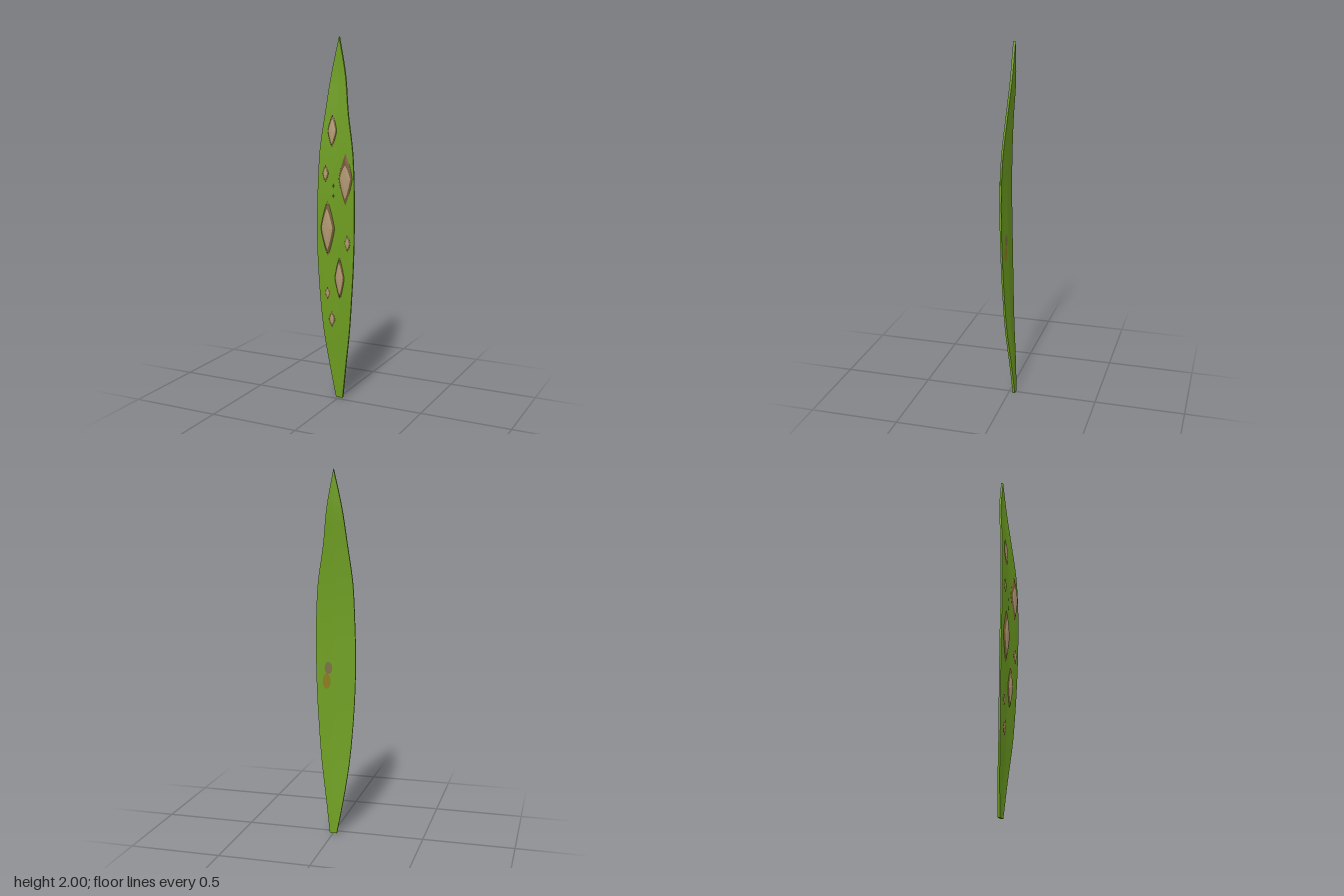
import * as THREE from 'three';

const mat = (name, color) => new THREE.MeshStandardMaterial({ name, color });

// Knots every 0.2 in height: left edge, right edge, front depth of the midrib
const LEFT = [-0.02, -0.055, -0.083, -0.1, -0.11, -0.112, -0.106, -0.096, -0.07, -0.043, 0];
const RIGHT = [0.02, 0.046, 0.074, 0.092, 0.105, 0.111, 0.11, 0.098, 0.065, 0.04, 0];
const DEPTH = [-0.024, -0.012, 0.002, 0.011, 0.017, 0.021, 0.022, 0.017, 0.004, -0.013, -0.018];
const THICK = 0.013;

// Smooth interpolation through the knots
function sample(knots, y) {
  const t = THREE.MathUtils.clamp(y / 0.2, 0, knots.length - 1);
  const i = Math.min(Math.floor(t), knots.length - 2), f = t - i;
  const a = knots[i], b = knots[i + 1];
  const m0 = i > 0 ? (b - knots[i - 1]) / 2 : b - a;
  const m1 = i + 2 < knots.length ? (knots[i + 2] - a) / 2 : b - a;
  const f2 = f * f, f3 = f2 * f;
  return (2 * f3 - 3 * f2 + 1) * a + (f3 - 2 * f2 + f) * m0 + (3 * f2 - 2 * f3) * b + (f3 - f2) * m1;
}

// Front surface: gently folded along the midrib
const frontZ = (x, y) => sample(DEPTH, y) + 0.004 * Math.min(1, Math.abs(x) / 0.08) - 0.001;
const backZ = (x, y) => frontZ(x, y) - THICK * (1 - 0.25 * Math.min(1, Math.abs(x) / 0.11));
const across = (u, y) => THREE.MathUtils.lerp(sample(LEFT, y), sample(RIGHT, y), u);

// Surface patch; u runs right and v up when seen from outside
function patch(name, material, nu, nv, fn) {
  const pos = [], index = [];
  for (let j = 0; j <= nv; j++) {
    for (let i = 0; i <= nu; i++) {
      pos.push(...fn(i / nu, j / nv));
      if (i === nu || j === nv) continue;
      const a = j * (nu + 1) + i, c = a + nu + 1;
      index.push(a, a + 1, c + 1, a, c + 1, c);
    }
  }
  const g = new THREE.BufferGeometry();
  g.setAttribute('position', new THREE.Float32BufferAttribute(pos, 3));
  g.setIndex(index);
  g.computeVertexNormals();
  const mesh = new THREE.Mesh(g, material);
  mesh.name = name;
  return mesh;
}

export function createModel() {
  const leafGreen = mat('leafGreen', 0x6f9f21);
  const speckGreen = mat('speckGreen', 0x4c6c1a);
  const rimBrown = mat('rimBrown', 0x765836);
  const rimOlive = mat('rimOlive', 0x74762e);
  const spotTan = mat('spotTan', 0xb29a74);
  const ochre = mat('ochre', 0x8c7c1c);
  const stainBrown = mat('stainBrown', 0x7c7048);

  const group = new THREE.Group();
  group.name = 'leaf';

  // Blade faces
  group.add(patch('bladeFront', leafGreen, 12, 50, (u, v) => {
    const y = 2 * v, x = across(u, y);
    return [x, y, frontZ(x, y)];
  }));
  group.add(patch('bladeBack', leafGreen, 12, 50, (u, v) => {
    const y = 2 * v, x = across(1 - u, y);
    return [x, y, backZ(x, y)];
  }));

  // Thin side edges and the cut base
  for (const side of [0, 1]) {
    group.add(patch(side ? 'leftEdge' : 'rightEdge', leafGreen, 1, 50, (u, v) => {
      const y = 2 * v, x = across(side, y), k = side ? 1 - u : u;
      return [x, y, THREE.MathUtils.lerp(backZ(x, y), frontZ(x, y), k)];
    }));
  }
  group.add(patch('baseCut', leafGreen, 6, 1, (u, v) => {
    const x = across(u, 0);
    return [x, 0, THREE.MathUtils.lerp(backZ(x, 0), frontZ(x, 0), v)];
  }));

  // Diamond-like ring of a dome on the front face, between two relative radii given by angle
  function ring(name, material, [cx, cy, hw, hh, rise], outer, inner) {
    return patch(name, material, 32, 6, (u, v) => {
      const a = u * Math.PI * 2, r = THREE.MathUtils.lerp(outer(a), inner(a), v);
      const s = Math.sin(a), c = Math.cos(a);
      const x = cx + hw * r * Math.sign(c) * Math.abs(c) ** 1.7;
      const y = cy + hh * r * Math.sign(s) * Math.abs(s) ** 1.7;
      return [x, y, frontZ(x, y) + rise * (0.95 * (1 - r ** 3) + 0.04)];
    });
  }
  const full = () => 1, none = () => 0;

  // Raised blisters: centre x, y, half width, half height, rise; extra brown at the upper end
  const spots = [
    [-0.025, 1.505, 0.026, 0.09, 0.008, 0.06],
    [0.059, 1.25, 0.041, 0.142, 0.011, 0.24],
    [-0.048, 0.975, 0.041, 0.153, 0.014, 0.04],
    [0.02, 0.7, 0.029, 0.12, 0.01, 0.04],
    [-0.06, 1.275, 0.017, 0.048, 0.005, 0],
    [0.07, 0.9, 0.018, 0.049, 0.005, 0],
    [-0.053, 0.61, 0.015, 0.038, 0.004, 0],
    [-0.03, 0.462, 0.018, 0.049, 0.005, 0],
  ];
  for (const s of spots) {
    const small = s[3] < 0.06;
    const collar = () => (small ? 0.85 : 0.94);
    const core = a => (small ? 0.64 : 0.76) - s[5] * Math.max(0, Math.sin(a)) ** 2;
    const spot = new THREE.Group();
    spot.name = 'spot';
    spot.add(ring('spotCollar', rimOlive, s, full, collar));
    spot.add(ring('spotRim', rimBrown, s, collar, core));
    spot.add(ring('spotCentre', spotTan, s, core, none));
    group.add(spot);
  }

  // Tiny specks beside the midrib
  for (const y of [1.21, 1.155]) {
    group.add(ring('speck', speckGreen, [-0.014, y, 0.004, 0.014, 0.002], full, none));
  }

  // Two-tone stain on the back
  function stain(name, material, cx, cy, hw, hh) {
    group.add(patch(name, material, 20, 3, (u, v) => {
      const a = -u * Math.PI * 2, r = 1 - v;
      const x = cx + hw * r * Math.cos(a), y = cy + hh * r * Math.sin(a);
      return [x, y, backZ(x, y) - 0.0015];
    }));
  }
  stain('upperStain', stainBrown, 0.039, 0.932, 0.022, 0.034);
  stain('lowerStain', ochre, 0.049, 0.858, 0.023, 0.042);

  return group;
}
